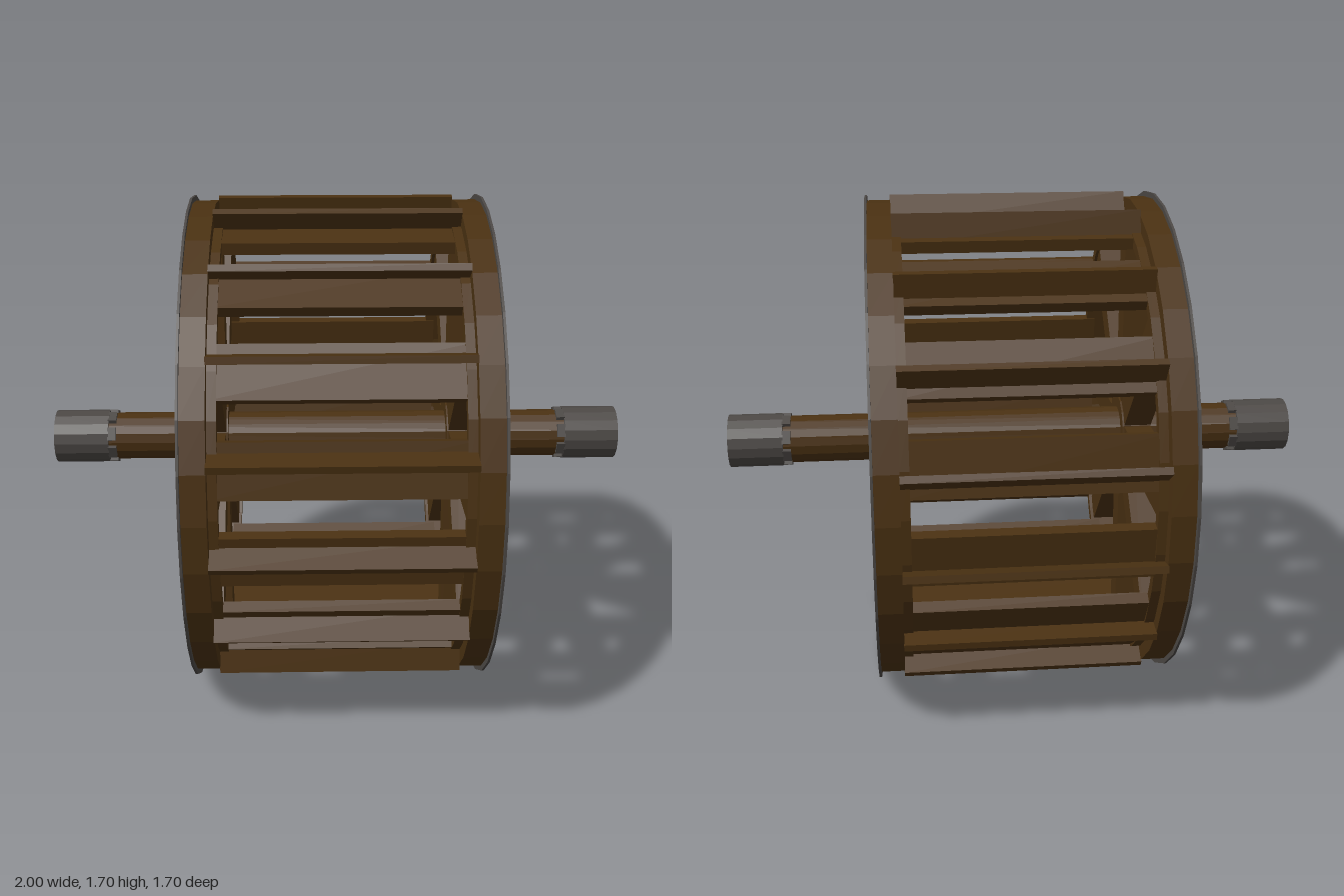
import * as THREE from 'three';

const R = 0.85;

export function createModel() {
  const wood = new THREE.MeshStandardMaterial({ color: 0x4a3112, flatShading: true });
  wood.name = 'dark wood';
  const iron = new THREE.MeshStandardMaterial({ color: 0x4c4845, flatShading: true });
  iron.name = 'dull iron';

  const model = new THREE.Group();
  model.name = 'waterWheel';
  const wheel = new THREE.Group();
  wheel.name = 'wheel';
  wheel.position.y = R;
  model.add(wheel);

  const add = (parent, name, geometry, material) => {
    const mesh = new THREE.Mesh(geometry, material);
    mesh.name = name;
    parent.add(mesh);
    return mesh;
  };
  // group turned around the axle, local y pointing outwards
  const spin = (name, angle) => {
    const g = new THREE.Group();
    g.name = name;
    g.rotation.x = angle;
    wheel.add(g);
    return g;
  };
  // rectangular-section ring around the x axis
  const ring = (inner, outer, x0, x1) => {
    const profile = [[inner, x0], [outer, x0], [outer, x1], [inner, x1], [inner, x0]]
      .map(([r, x]) => new THREE.Vector2(r, x));
    return new THREE.LatheGeometry(profile, 32).rotateZ(-Math.PI / 2);
  };
  // solid round bar along the x axis
  const bar = (radius, x0, x1, sides) =>
    new THREE.CylinderGeometry(radius, radius, x1 - x0, sides)
      .rotateZ(-Math.PI / 2).translate((x0 + x1) / 2, 0, 0);
  const span = (side, a, b) => (side > 0 ? [a, b] : [-b, -a]);

  add(wheel, 'axle', bar(0.083, -0.98, 0.98, 16), wood);

  for (const side of [1, -1]) {
    // rim, plank ledge, iron hoop and hub
    add(wheel, 'rim', ring(0.75, 0.832, ...span(side, 0.41, 0.491)), wood);
    add(wheel, 'plankLedge', ring(0.75, 0.785, ...span(side, 0.38, 0.41)), wood);
    add(wheel, 'ironHoop', ring(0.795, R, ...span(side, 0.489, 0.497)), iron);
    add(wheel, 'hub', bar(0.13, ...span(side, 0.385, 0.485), 16), wood);

    // four crossing beams make eight spokes
    for (let i = 0; i < 4; i++) {
      const g = spin('spokeBeam', i * Math.PI / 4);
      add(g, 'spoke', new THREE.BoxGeometry(0.094, 1.506, 0.094), wood)
        .position.x = side * (0.437 + i * 0.0005);
    }

    // axle cap with a notched inner edge
    add(wheel, 'axleCap', bar(0.093, ...span(side, 0.81, 1), 16), iron);
    for (let i = 0; i < 8; i++) {
      const g = spin('capTooth', (i + 0.5) * Math.PI / 4);
      add(g, 'tooth', new THREE.BoxGeometry(0.03, 0.014, 0.046), iron)
        .position.set(side * 0.798, 0.084, 0);
    }
  }

  // sixteen floor planks, each with a leaning paddle
  for (let i = 0; i < 16; i++) {
    const g = spin('paddleUnit', (i + 0.5) * Math.PI / 8);
    add(g, 'floorPlank', new THREE.BoxGeometry(0.822, 0.04, 0.18), wood)
      .position.y = 0.755;
    const paddle = add(g, 'paddle', new THREE.BoxGeometry(0.822, 0.112, 0.024), wood);
    paddle.position.set(0, 0.793, -0.036);
    paddle.rotation.x = 0.4;
  }

  return model;
}
